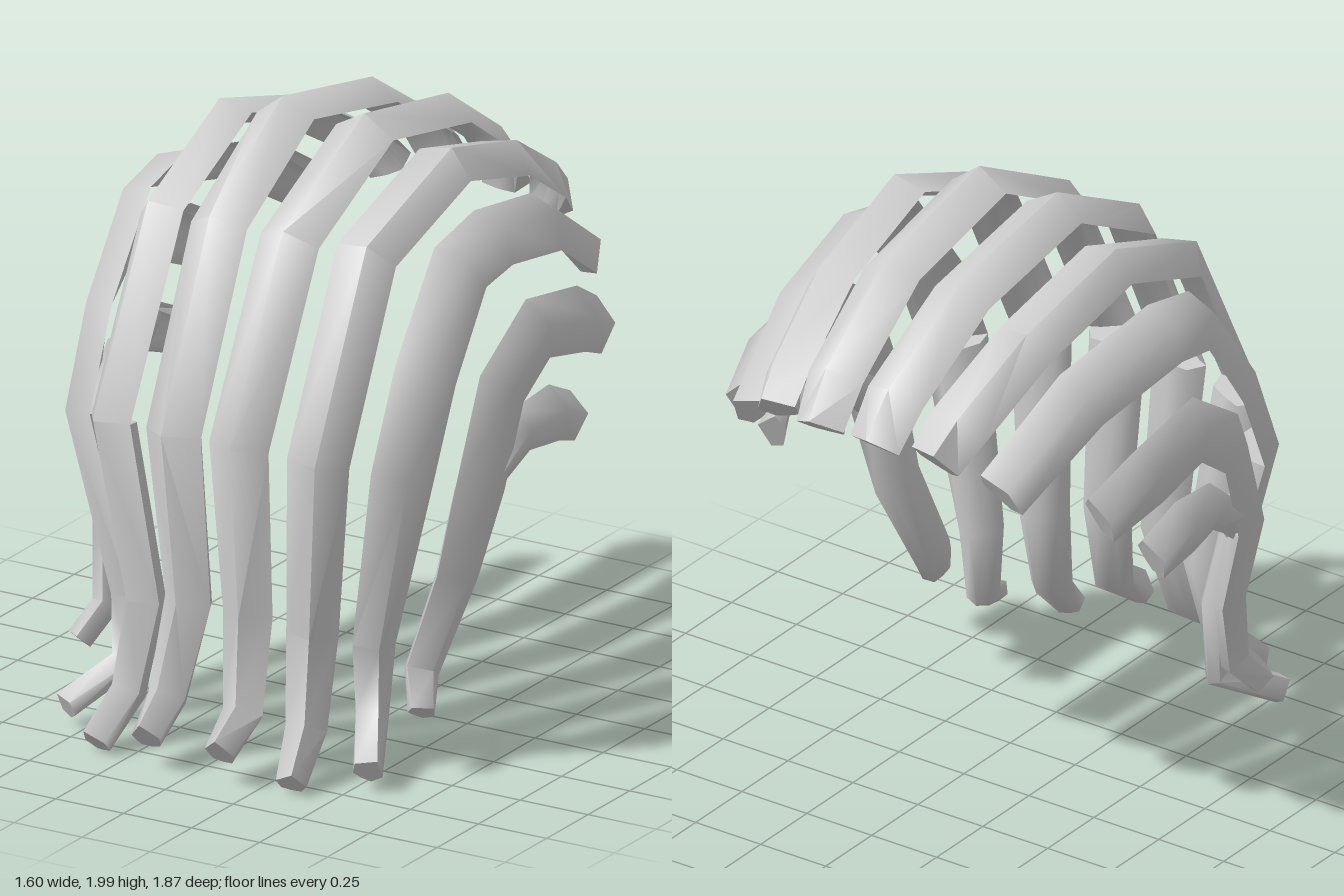
import * as THREE from 'three';
import { toCreasedNormals } from 'three/addons/utils/BufferGeometryUtils.js';

// Each strand: tilt of its outer ridge towards the side (degrees), full width and
// thickness, how late it widens (grow), and the centre line from the front tip,
// over the top, to the back
const STRANDS = [
  { name: 'centreStrand', tilt: 4, width: .21, thickness: .13, grow: 1, path: [
    [.135, .125, .895], [.14, .22, .76], [.11, .52, .68], [.12, 1.1, .75], [.13, 1.7, .46],
    [.145, 1.93, .035], [.135, 1.835, -.45], [.115, 1.62, -.78], [.105, 1.49, -.88]] },
  { name: 'innerStrand', tilt: 22, width: .2, thickness: .13, grow: 1, path: [
    [.36, .045, .83], [.33, .18, .69], [.31, .47, .62], [.38, 1.08, .7], [.375, 1.68, .4],
    [.4, 1.85, -.03], [.37, 1.735, -.44], [.325, 1.56, -.74], [.305, 1.475, -.835]] },
  { name: 'middleStrand', tilt: 48, width: .21, thickness: .11, grow: 2.5, path: [
    [.555, .08, .685], [.45, .19, .49], [.45, .42, .48], [.585, 1.02, .53], [.59, 1.32, .4],
    [.59, 1.615, .19], [.595, 1.655, 0], [.55, 1.575, -.39], [.485, 1.365, -.73]] },
  { name: 'outerStrand', tilt: 72, width: .21, thickness: .1, grow: 1, path: [
    [.63, .225, .48], [.58, .33, .4], [.64, .62, .29], [.715, .92, .28],
    [.73, 1.23, .17], [.74, 1.37, -.03], [.74, 1.32, -.29], [.69, 1.23, -.48]] },
  { name: 'shortSideStrand', tilt: 72, width: .18, thickness: .1, grow: 1, path: [
    [.69, .85, .28], [.71, .95, .2], [.73, 1.055, .06], [.75, 1.065, -.11],
    [.73, 1.005, -.255]] },
];

// Cross-sections: ridge, shoulder, underside, shoulder. The underside is full near
// the tips and hollowed out along the upper part
const section = (edge, middle) =>
  [[0, .55], [-.5, .02], [-.33, edge], [0, middle], [.33, edge], [.5, .02]];
const FULL = section(-.38, -.42);
const HOLLOW = section(.1, .4);
const SEAM = 3; // station where the hollow part begins

// Lofts the sections along the centre line; sign -1 mirrors the strand to the other side
function strandGeometry({ tilt, width, thickness, grow, path }, sign) {
  const centres = path.map((p) => new THREE.Vector3(...p));
  const angle = THREE.MathUtils.degToRad(tilt);
  const X = new THREE.Vector3(1, 0, 0);
  const n = FULL.length, last = path.length - 1;
  const positions = [], index = [];

  centres.forEach((centre, i) => {
    // Narrow front tip that grows to full size, slightly reduced at the back end
    const w = width * (i === last ? .88 : 1) * (.5 + .5 * Math.min(1, i / 3) ** grow);
    const t = thickness * Math.min(1, .85 + i / 20);

    const before = centre.clone().sub(centres[Math.max(i - 1, 0)]).normalize();
    const after = centres[Math.min(i + 1, last)].clone().sub(centre).normalize();
    const tangent = before.add(after).normalize();
    const up = X.clone().cross(tangent).normalize();
    const across = tangent.clone().cross(up);
    const out = up.clone().multiplyScalar(Math.cos(angle)).addScaledVector(across, Math.sin(angle));
    const side = across.multiplyScalar(Math.cos(angle)).addScaledVector(up, -Math.sin(angle));

    // The seam has both sections, which makes a step on the inside only
    const sections = i === SEAM ? [FULL, HOLLOW] : [i > SEAM && i < last ? HOLLOW : FULL];
    for (const [u, v] of sections.flat()) {
      const p = centre.clone().addScaledVector(side, u * w).addScaledVector(out, v * t);
      positions.push(p.x * sign, p.y, p.z);
    }
  });

  const face = (a, b, c) => (sign > 0 ? index.push(a, b, c) : index.push(a, c, b));
  const end = positions.length / 3 - n;
  for (let ring = 0; ring < end; ring += n) {
    for (let j = 0; j < n; j++) {
      const a = ring + j, b = ring + (j + 1) % n;
      face(a, a + n, b);
      face(b, a + n, b + n);
    }
  }
  // End caps
  for (let j = 1; j < n - 1; j++) {
    face(0, j, j + 1);
    face(end, end + j + 1, end + j);
  }

  const geometry = new THREE.BufferGeometry();
  geometry.setAttribute('position', new THREE.Float32BufferAttribute(positions, 3));
  geometry.setIndex(index);
  return toCreasedNormals(geometry, 1.25);
}

export function createModel() {
  const model = new THREE.Group();
  model.name = 'strandShell';
  const material = new THREE.MeshStandardMaterial({ color: 0xcccccc });
  for (const strand of STRANDS) {
    for (const sign of [1, -1]) {
      const mesh = new THREE.Mesh(strandGeometry(strand, sign), material);
      mesh.name = strand.name + (sign > 0 ? 'Left' : 'Right');
      model.add(mesh);
    }
  }
  return model;
}
